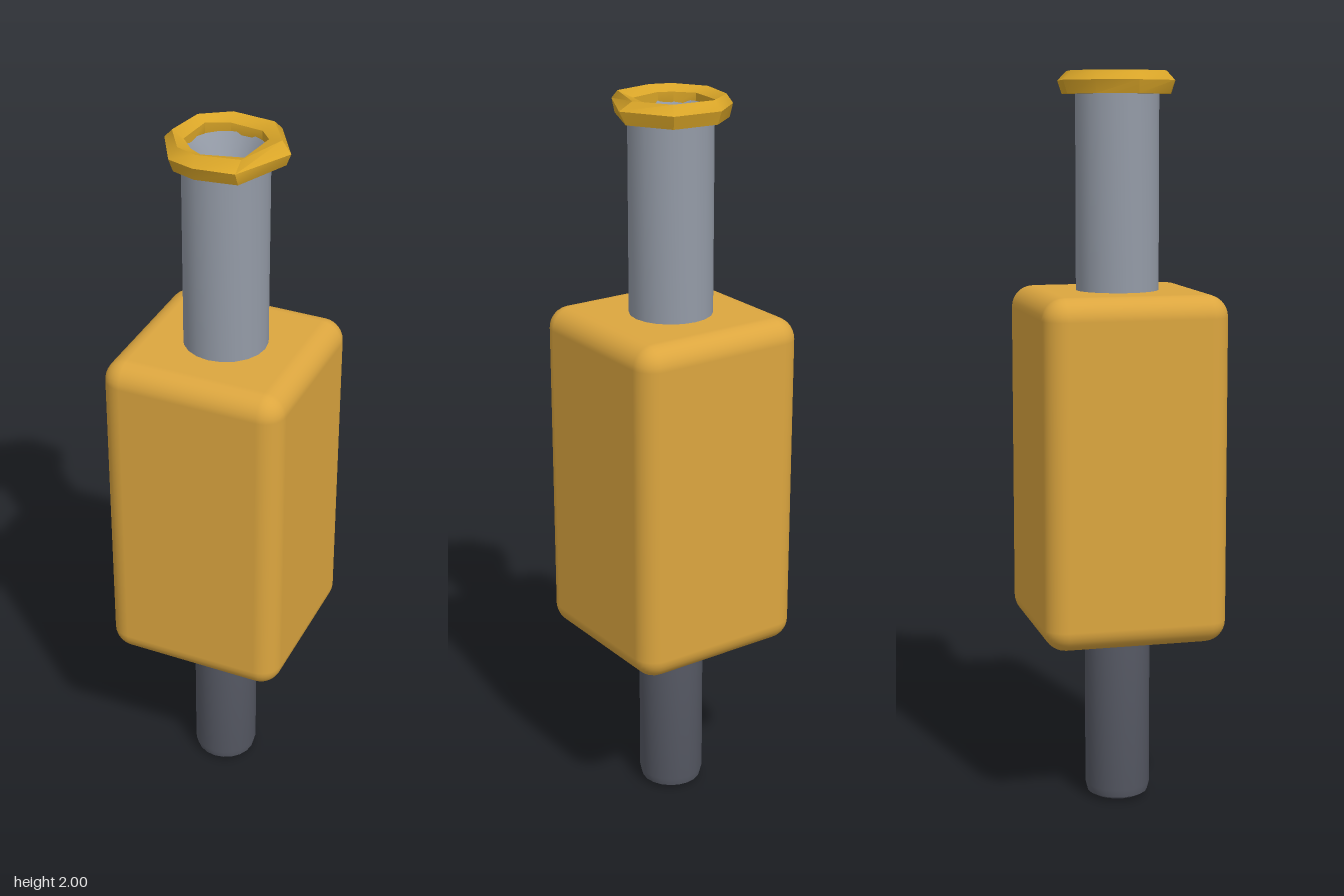
import * as THREE from 'three';
import { toCreasedNormals } from 'three/addons/utils/BufferGeometryUtils.js';
import { RoundedBoxGeometry } from 'three/addons/geometries/RoundedBoxGeometry.js';

const material = (name, color) => {
  const m = new THREE.MeshStandardMaterial({ color });
  m.name = name;
  return m;
};

// Turned part from [radius, height] pairs, listed bottom to top on the outside
const turned = (profile, sides) => toCreasedNormals(
  new THREE.LatheGeometry(profile.map(([r, y]) => new THREE.Vector2(r, y)), sides), 0.6);

// Irregular collar: a closed cross-section swept round an outer and an inner outline
function collarGeometry() {
  const outer = [[-0.045, -0.157], [0.09, -0.143], [0.167, -0.013], [0.087, 0.143],
    [-0.02, 0.155], [-0.093, 0.133], [-0.157, 0.02], [-0.13, -0.09]];
  const inner = [[-0.03, -0.1], [0.06, -0.088], [0.093, -0.05], [0.092, 0.065],
    [-0.025, 0.095], [-0.06, 0.075], [-0.1, 0.03], [-0.09, -0.075]];
  // [height, blend from inner (0) to outer (1)]
  const section = [[1.94, 0.15], [1.94, 0.8], [1.975, 1], [2, 0.6], [1.985, 0], [1.95, 0]];
  const n = outer.length;
  const positions = [], index = [];
  for (const [y, t] of section) {
    for (let i = 0; i < n; i++) {
      const [x, z] = [0, 1].map((k) => THREE.MathUtils.lerp(inner[i][k], outer[i][k], t));
      positions.push(x, y, z);
    }
  }
  for (let j = 0; j < section.length; j++) {
    const up = ((j + 1) % section.length) * n;
    for (let i = 0; i < n; i++) {
      const next = (i + 1) % n;
      const a = j * n + i, b = j * n + next, c = up + i, d = up + next;
      index.push(a, c, b, b, c, d);
    }
  }
  const g = new THREE.BufferGeometry();
  g.setAttribute('position', new THREE.Float32BufferAttribute(positions, 3));
  g.setIndex(index);
  return toCreasedNormals(g, 0.7);
}

export function createModel() {
  const model = new THREE.Group();
  const add = (name, geometry, mat) => {
    const mesh = new THREE.Mesh(geometry, mat);
    mesh.name = name;
    model.add(mesh);
    return mesh;
  };

  // Rounded block in the middle
  add('body', new RoundedBoxGeometry(0.502, 0.94, 0.502, 4, 0.06), material('amber', 0xdca63f))
    .position.y = 0.95;

  // Dark lower rod with a bevelled foot
  add('lowerRod', turned([[0, 0], [0.07, 0.004], [0.084, 0.012], [0.09, 0.035], [0.09, 0.52]], 20),
    material('dark grey', 0x575a65));

  // Pale upper tube with a hollow end
  add('upperTube', turned([[0.112, 1.38], [0.112, 1.955], [0.1, 1.965], [0.085, 1.94],
    [0.065, 1.9], [0, 1.89]], 20), material('steel grey', 0x949ba7));

  // Faceted collar round the open end
  add('collar', collarGeometry(), material('gold', 0xd9a528));

  return model;
}
